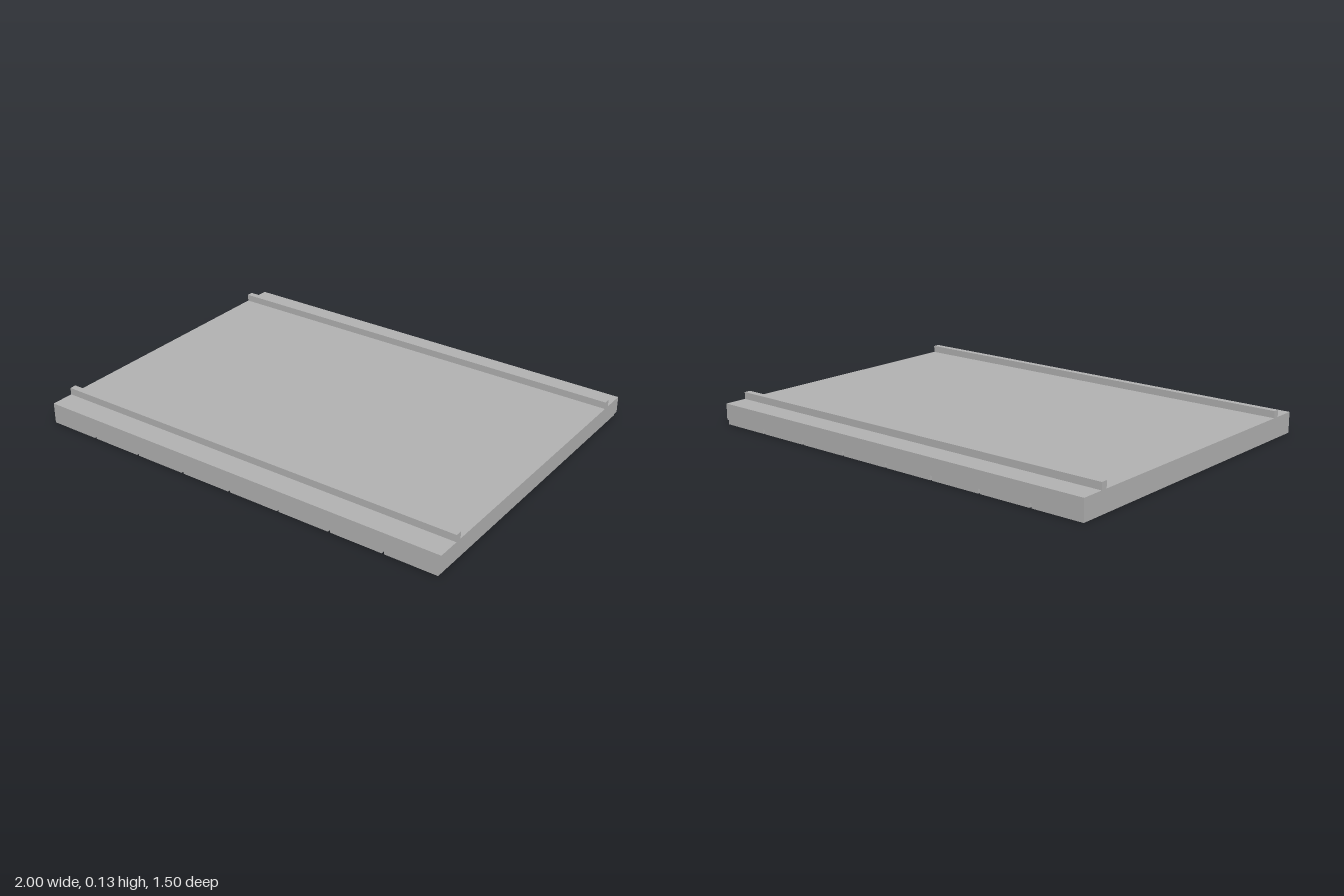
import * as THREE from 'three';

export function createModel() {
  const group = new THREE.Group();
  const grey = new THREE.MeshStandardMaterial({ color: 0xb2b2b2 });
  grey.name = 'plain grey';

  const depth = 1.5, top = 0.095, grooveTop = 0.02;
  const planks = 8, pitch = 0.25, plankWidth = 0.24;

  // Deck: one cross-section with a groove after every plank, extruded along z
  const profile = new THREE.Shape();
  profile.moveTo(-1, top);
  for (let i = 0; i < planks; i++) {
    const left = -1 + i * pitch, right = left + plankWidth;
    profile.lineTo(left, 0);
    profile.lineTo(right, 0);
    profile.lineTo(right, grooveTop);
    profile.lineTo(left + pitch, grooveTop);
  }
  profile.lineTo(1, top);
  profile.closePath();
  const deckGeometry = new THREE.ExtrudeGeometry(profile, { depth, bevelEnabled: false });
  deckGeometry.translate(0, 0, -depth / 2);
  const deck = new THREE.Mesh(deckGeometry, grey);
  deck.name = 'groovedDeck';
  group.add(deck);

  // Two rails running the full width of the deck
  const railHeight = 0.032;
  for (const [name, side] of [['frontRail', 1], ['backRail', -1]]) {
    const rail = new THREE.Mesh(new THREE.BoxGeometry(2, railHeight, 0.03), grey);
    rail.name = name;
    rail.position.set(0, top + railHeight / 2, side * 0.629);
    group.add(rail);
  }

  return group;
}
